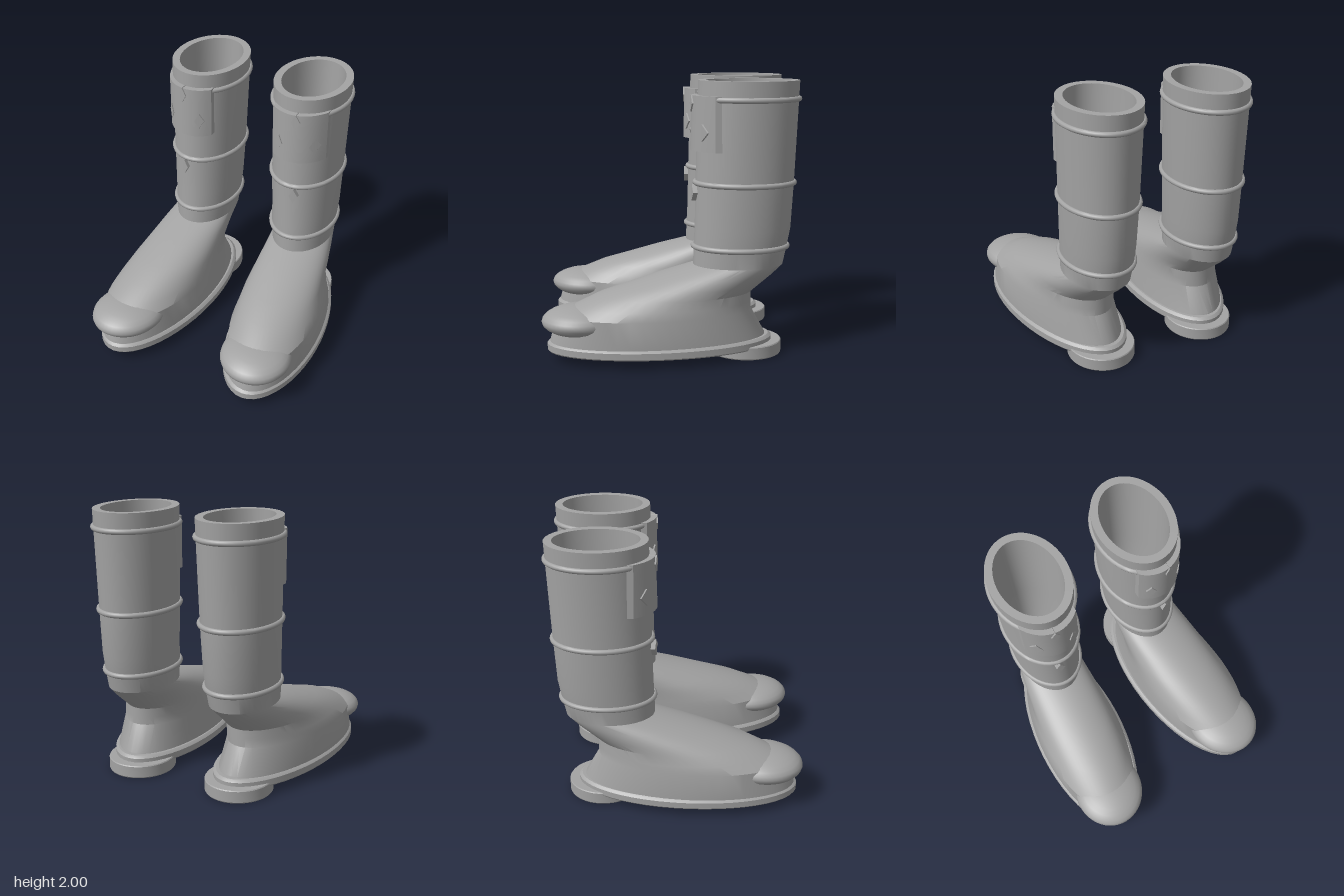
import * as THREE from 'three';
import { toCreasedNormals } from 'three/addons/utils/BufferGeometryUtils.js';

const SEGMENTS = 48;

// Upper sections of a left boot, bottom to top: [y, xMin, xMax, zMin, zMax, skew]
const UPPER = [
  [0.12, 0.15, 0.84, -0.695, 0.885, 0.08],
  [0.15, 0.153, 0.84, -0.69, 0.88, 0.08],
  [0.34, 0.17, 0.83, -0.585, 0.83, 0.08],
  [0.40, 0.178, 0.805, -0.585, 0.70, 0.08],
  [0.47, 0.185, 0.77, -0.585, 0.54, 0.07],
  [0.53, 0.192, 0.74, -0.655, 0.34, 0.05],
  [0.60, 0.198, 0.705, -0.74, 0.11, 0.03],
  [0.67, 0.20, 0.665, -0.815, -0.16, 0],
  [0.80, 0.185, 0.673, -0.843, -0.163, 0],
  [0.94, 0.178, 0.68, -0.868, -0.17, 0],
  [1.27, 0.162, 0.688, -0.886, -0.175, 0],
  [2.00, 0.14, 0.705, -0.915, -0.19, 0],
];

// Grow or shrink a section sideways, optionally moving it to another height
const offset = ([y, x0, x1, z0, z1, s], d, newY = y) => [newY, x0 - d, x1 + d, z0 - d, z1 + d, s];
// Section collapsed to its centre, used to close an end
const point = ([y, x0, x1, z0, z1]) => {
  const x = (x0 + x1) / 2, z = (z0 + z1) / 2;
  return [y, x, x, z, z, 0];
};
const capped = (list) => [point(list[0]), ...list, point(list[list.length - 1])];

// Interpolated upper section at height y
function sectionAt(y) {
  const i = Math.max(1, UPPER.findIndex((s) => s[0] >= y));
  const a = UPPER[i - 1], b = UPPER[i], t = (y - a[0]) / (b[0] - a[0]);
  return a.map((v, k) => THREE.MathUtils.lerp(v, b[k], t));
}

// Skin skewed elliptical sections; side = -1 builds the mirrored boot
function loft(sections, side, crease = 0.45) {
  const pos = [], idx = [];
  for (const [y, x0, x1, z0, z1, s] of sections) {
    const cx = side * (x0 + x1) / 2, cz = (z0 + z1) / 2, rz = (z1 - z0) / 2;
    const rx = Math.sqrt(Math.max(0, ((x1 - x0) / 2) ** 2 - (s * rz) ** 2));
    for (let j = 0; j < SEGMENTS; j++) {
      const t = (j / SEGMENTS) * Math.PI * 2, dz = rz * Math.sin(t);
      pos.push(cx + rx * Math.cos(t) + side * s * dz, y, cz + dz);
    }
  }
  for (let i = 0; i < sections.length - 1; i++) {
    for (let j = 0; j < SEGMENTS; j++) {
      const k = (j + 1) % SEGMENTS;
      const a = i * SEGMENTS + j, b = i * SEGMENTS + k;
      const c = b + SEGMENTS, d = a + SEGMENTS;
      idx.push(a, d, c, a, c, b);
    }
  }
  const g = new THREE.BufferGeometry();
  g.setAttribute('position', new THREE.Float32BufferAttribute(pos, 3));
  g.setIndex(idx);
  return toCreasedNormals(g, crease);
}

// Front surface depth of the shaft at (x, y)
function shaftFront(x, y) {
  const [, x0, x1, z0, z1] = sectionAt(y);
  const u = Math.min(1, Math.abs(x - (x0 + x1) / 2) / ((x1 - x0) / 2));
  return (z0 + z1) / 2 + ((z1 - z0) / 2) * Math.sqrt(1 - u * u);
}

// Bend a slab around the shaft front, from inner to outer offset
function wrapToShaft(g, side, inner, outer) {
  const p = g.attributes.position;
  for (let i = 0; i < p.count; i++) {
    const d = p.getZ(i) > 0 ? outer : inner;
    p.setZ(i, shaftFront(side * p.getX(i), p.getY(i)) + d);
  }
  return toCreasedNormals(g, 0.45);
}

function createBoot(side, material) {
  const boot = new THREE.Group();
  boot.name = side > 0 ? 'leftBoot' : 'rightBoot';
  const add = (name, geometry) => {
    const mesh = new THREE.Mesh(geometry, material);
    mesh.name = name;
    boot.add(mesh);
    return mesh;
  };

  // Hollow upper: outside going up, over the rim, down the inside to the insole
  const inside = UPPER.slice(1).reverse().map((s) => offset(s, -0.057));
  add('upper', loft(capped([...UPPER, ...inside]), side));

  // Sole with a thin welt on top
  const sole = [0, 0.12, 0.857, -0.742, 0.902, 0.08];
  add('sole', loft(capped([
    offset(sole, -0.008, 0.07), offset(sole, 0, 0.08),
    offset(sole, 0, 0.125), offset(sole, -0.01, 0.135),
    offset(sole, -0.022, 0.143),
  ]), side));

  // Heel
  const heel = [0, 0.175, 0.67, -0.815, -0.285, 0];
  add('heel', loft(capped([
    offset(heel, -0.005, 0), offset(heel, 0, 0.008),
    offset(heel, 0, 0.09), offset(heel, -0.005, 0.097),
  ]), side));

  // Rounded toe cap
  const toe = [];
  for (let i = 0; i <= 14; i++) {
    const a = -Math.PI / 2 + (i / 14) * Math.PI;
    const r = Math.cos(a);
    toe.push([0.29 + 0.112 * Math.sin(a), 0.55 - 0.27 * r, 0.55 + 0.27 * r,
      0.645 - 0.295 * r, 0.645 + 0.295 * r, 0.05]);
  }
  add('toeCap', loft(toe, side, 0.7));

  // Piping rings around the shaft
  for (const y of [0.805, 1.27, 1.87]) {
    const ring = [];
    for (let i = 0; i <= 10; i++) {
      const a = -Math.PI + (i / 10) * Math.PI * 2;
      ring.push(offset(sectionAt(y), 0.002 + 0.02 * Math.cos(a), y + 0.02 * Math.sin(a)));
    }
    add('pipingRing', loft(ring, side, 0.9));
  }

  // Curved shin plate
  const plate = new THREE.BoxGeometry(0.395, 0.39, 0.05, 14, 4, 1);
  plate.translate(side * 0.4525, 1.7, 0);
  add('shinPlate', wrapToShaft(plate, side, -0.01, 0.045));

  // Diamond studs: three on the plate, one on the shaft
  for (const [x, y, out] of [[0.46, 1.84, 0.056], [0.328, 1.64, 0.056], [0.592, 1.64, 0.056], [0.463, 1.2, 0.033]]) {
    const shape = new THREE.Shape();
    shape.moveTo(0, -0.06);
    shape.lineTo(0.033, 0);
    shape.lineTo(0, 0.06);
    shape.lineTo(-0.033, 0);
    const stud = new THREE.ExtrudeGeometry(shape, { depth: 0.05, bevelEnabled: false });
    stud.translate(side * x, y, 0);
    add('diamondStud', wrapToShaft(stud, side, -0.005, out));
  }
  return boot;
}

export function createModel() {
  const model = new THREE.Group();
  model.name = 'bootPair';
  const grey = new THREE.MeshStandardMaterial({ color: 0xa3a3a3 });
  grey.name = 'grey';
  model.add(createBoot(1, grey), createBoot(-1, grey));
  return model;
}
